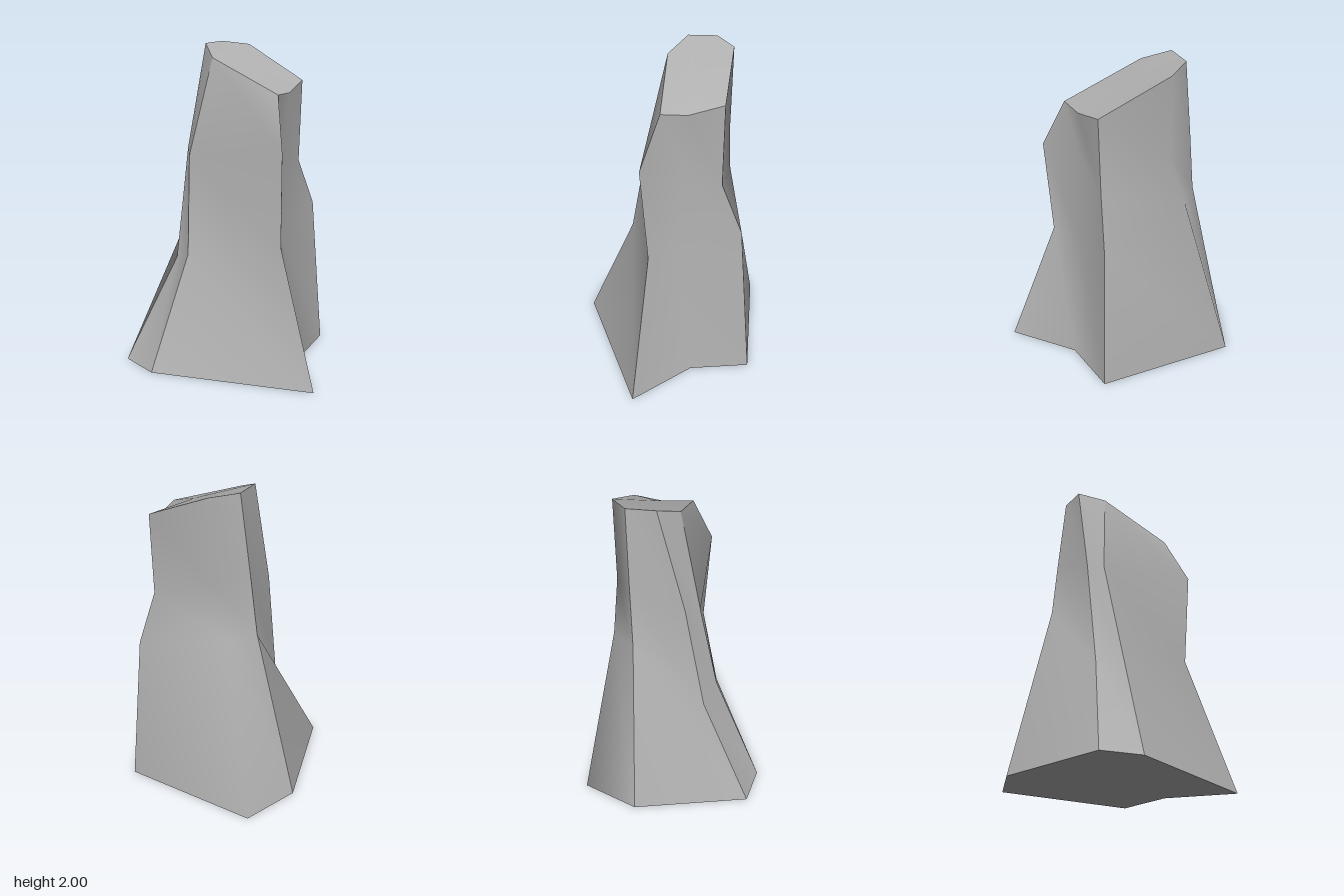
import * as THREE from 'three';

// Vertical ridges of the rock, counter-clockwise from above; each runs base -> top.
const ridges = {
  left: [[-0.67, 0, 0.04], [-0.32, 0.65, -0.05], [-0.225, 1.36, -0.13], [-0.09, 2, -0.226]],
  frontLeft: [[-0.54, 0, 0.26], [-0.27, 0.72, 0.1], [-0.235, 1.33, -0.02], [-0.08, 1.93, -0.045]],
  front: [[0.39, 0, 0.71], [0.245, 0.84, 0.43], [0.23, 1.44, 0.475], [0.24, 1.75, 0.32]],
  groove: [[0.435, 0, 0.25], [0.3, 0.85, 0.24], [0.3, 1.4, 0.2], [0.34, 1.74, 0.2]],
  right: [[0.67, 0, -0.04], [0.58, 0.98, -0.025], [0.46, 1.28, 0.03], [0.47, 1.79, 0.035]],
  backRight: [[0.105, 0, -0.71], [0.14, 1.12, -0.395], [0.2, 1.45, -0.31], [0.21, 1.98, -0.31]],
  back: [[-0.255, 0, -0.577], [-0.055, 1.12, -0.395], [-0.015, 1.5, -0.375], [0.04, 2, -0.345]],
};

function build(points, index) {
  const geometry = new THREE.BufferGeometry();
  geometry.setAttribute('position', new THREE.Float32BufferAttribute(points.flat(), 3));
  geometry.setIndex(index);
  geometry.computeVertexNormals();
  return geometry;
}

// Smooth wall through neighbouring ridges; hard edges fall between walls.
function wall(names) {
  const columns = names.map((n) => ridges[n]);
  const rows = columns[0].length;
  const index = [];
  for (let c = 0; c < columns.length - 1; c++) {
    for (let r = 0; r < rows - 1; r++) {
      const a = c * rows + r, b = a + rows;
      index.push(a, b, a + 1, b, b + 1, a + 1);
    }
  }
  return build(columns.flat(), index);
}

// Fan that closes the ring at one end of the ridges.
function cap(row, center, up) {
  const ring = Object.values(ridges).map((r) => r[row]);
  const n = ring.length;
  const index = [];
  for (let i = 0; i < n; i++) {
    const j = (i + 1) % n;
    index.push(n, up ? i : j, up ? j : i);
  }
  return build([...ring, center], index);
}

export function createModel() {
  const stone = new THREE.MeshStandardMaterial({ color: 0xb0b0b0 });
  stone.name = 'grey stone';

  const group = new THREE.Group();
  group.name = 'rock';
  const add = (name, geometry) => {
    const mesh = new THREE.Mesh(geometry, stone);
    mesh.name = name;
    group.add(mesh);
  };

  add('leftFacet', wall(['left', 'frontLeft']));
  add('frontFace', wall(['frontLeft', 'front']));
  add('rightFace', wall(['front', 'groove', 'right']));
  add('backFace', wall(['right', 'backRight', 'back']));
  add('backLeftFace', wall(['back', 'left']));
  add('slantedTop', cap(3, [0.2, 1.87, 0], true));
  add('base', cap(0, [0, 0, 0], false));
  return group;
}
